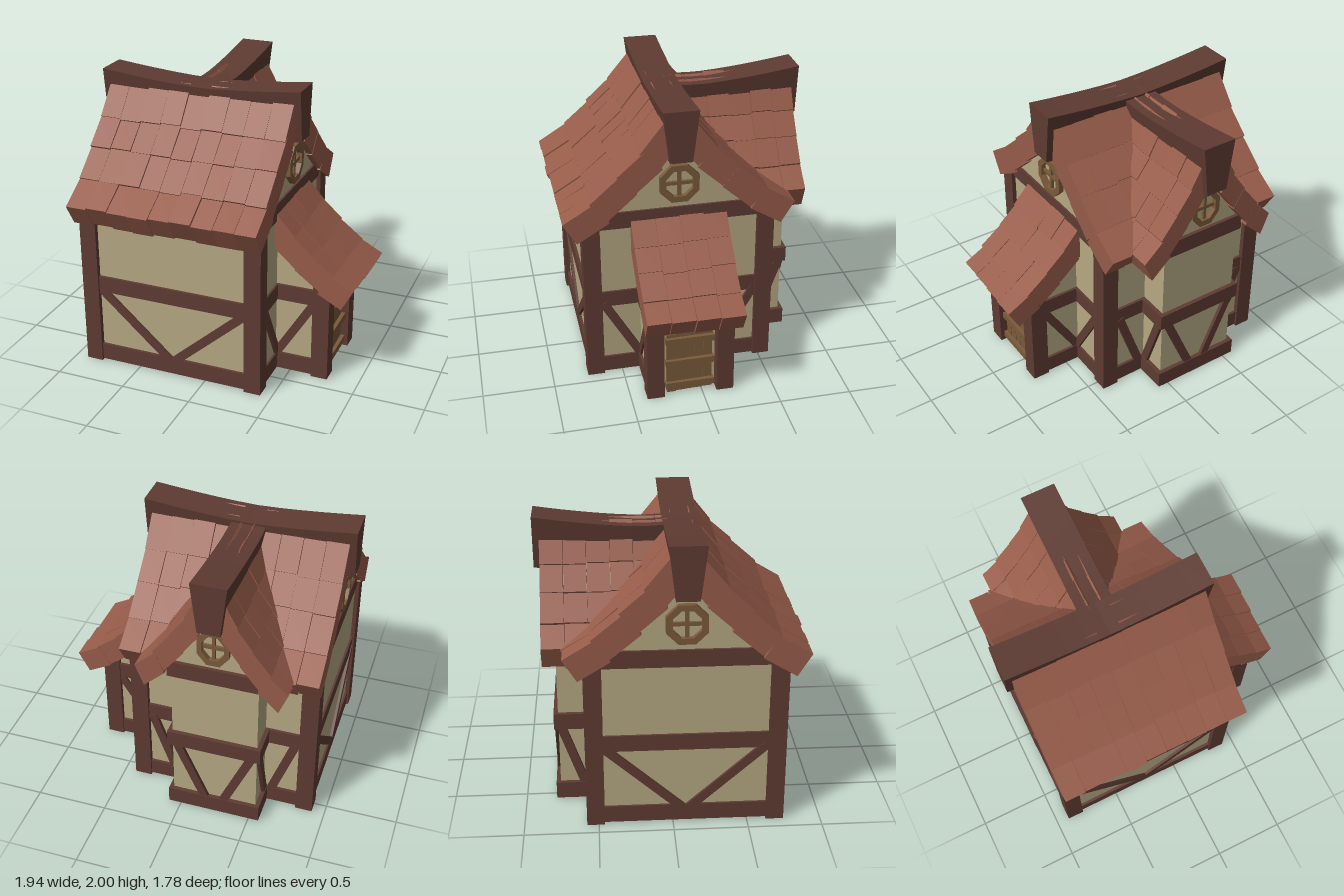
import * as THREE from 'three';

const mat = (color) => new THREE.MeshStandardMaterial({ color, flatShading: true });
const TIMBER = mat(0x5e3b32), WALL = mat(0xb5a883), TILE = mat(0x975c4a), WOOD = mat(0x7a5a3a);

let seed = 7;
const jitter = (amount) => {
  seed = (seed * 16807) % 2147483647;
  return (seed / 2147483647 - 0.5) * 2 * amount;
};

function add(parent, name, geometry, material) {
  const mesh = new THREE.Mesh(geometry, material);
  mesh.name = name;
  parent.add(mesh);
  return mesh;
}

// Box given by its limits on each axis
function block(parent, name, [x0, x1], [y0, y1], [z0, z1], material = TIMBER) {
  const mesh = add(parent, name, new THREE.BoxGeometry(x1 - x0, y1 - y0, z1 - z0), material);
  mesh.position.set((x0 + x1) / 2, (y0 + y1) / 2, (z0 + z1) / 2);
  return mesh;
}

// Slanted timber from a to b
function brace(parent, a, b, depth = 0.04) {
  const p = new THREE.Vector3(...a), q = new THREE.Vector3(...b);
  const mesh = add(parent, 'brace', new THREE.BoxGeometry(depth, 0.06, p.distanceTo(q)), TIMBER);
  mesh.position.copy(p).add(q).multiplyScalar(0.5);
  mesh.lookAt(q);
}

// Solid plaster body: outline in x/y, extruded along z
function body(parent, name, outline, length) {
  const shape = new THREE.Shape(outline.map(([x, y]) => new THREE.Vector2(x, y)));
  const geometry = new THREE.ExtrudeGeometry(shape, { depth: length, bevelEnabled: false });
  return add(parent, name, geometry.translate(0, 0, -length / 2), WALL);
}

const mirrored = (half) => [...half, ...half.map(([x, y]) => [-x, y]).reverse()];

// Rows of thick tiles that follow a profile, in columns along z
function tileSlope(parent, name, profile, columns, pitch, thickness) {
  const slope = new THREE.Group();
  slope.name = name;
  for (let c = 0; c < columns; c++) {
    for (let r = 0; r < profile.length - 1; r++) {
      const [x0, y0] = profile[r], [x1, y1] = profile[r + 1];
      const angle = Math.atan2(y1 - y0, x1 - x0);
      const length = Math.hypot(x1 - x0, y1 - y0) + 0.02 + jitter(0.008);
      const tile = add(slope, 'roofTile',
        new THREE.BoxGeometry(length, thickness, pitch - 0.003 + jitter(0.003)), TILE);
      const sink = thickness / 2 + jitter(0.006);
      const slide = jitter(0.01) - 0.006;
      tile.position.set(
        (x0 + x1) / 2 + Math.sin(angle) * sink + Math.cos(angle) * slide,
        (y0 + y1) / 2 - Math.cos(angle) * sink + Math.sin(angle) * slide,
        (c - (columns - 1) / 2) * pitch);
      tile.rotation.z = angle + 0.05 + jitter(0.02);
    }
  }
  parent.add(slope);
  return slope;
}

// Sagging ridge beam along z, narrower at the bottom
function ridge(parent, name, length, sag, lowest) {
  const geometry = new THREE.BoxGeometry(0.24, 0.36, length, 1, 1, 10);
  const pos = geometry.attributes.position;
  for (let i = 0; i < pos.count; i++) {
    const s = Math.min(1, Math.abs(pos.getZ(i) - lowest) / (length / 2 + Math.abs(lowest)));
    if (pos.getY(i) < 0) pos.setX(i, pos.getX(i) * 0.63);
    pos.setY(i, pos.getY(i) + 1.82 - sag * (1 - s ** 1.5));
  }
  geometry.computeVertexNormals();
  return add(parent, name, geometry, TIMBER);
}

// Octagonal window facing +z
function roundWindow(parent, x, z, turn, width = 1) {
  const group = new THREE.Group();
  group.name = 'roundWindow';
  const section = [[0.1, -0.03], [0.145, -0.03], [0.145, 0.03], [0.1, 0.03], [0.1, -0.03]];
  const ring = new THREE.LatheGeometry(section.map((p) => new THREE.Vector2(...p)), 8);
  add(group, 'windowFrame', ring.rotateY(Math.PI / 8).rotateX(Math.PI / 2), WOOD);
  add(group, 'windowBar', new THREE.BoxGeometry(0.025, 0.21, 0.03), WOOD);
  add(group, 'windowBar', new THREE.BoxGeometry(0.21, 0.025, 0.03), WOOD);
  group.position.set(x, 1.46, z);
  group.rotation.y = turn;
  group.scale.x = width;
  parent.add(group);
}

export function createModel() {
  const model = new THREE.Group();
  model.name = 'timberCottage';
  const BASE = [0.01, 0.13], BAND = [0.555, 0.67], TOP = [1.16, 1.28];
  const MX = -0.245, MZ = 0.085;

  // Plaster bodies: main house, rear wing, porch
  const main = body(model, 'mainWalls', mirrored(
    [[0.63, 0.02], [0.63, 1.16], [0.5, 1.28], [0.3, 1.46], [0.05, 1.76]]), 1.27);
  main.rotation.y = Math.PI / 2;
  main.position.set(MX, 0, MZ);
  const wing = body(model, 'wingWalls', mirrored(
    [[0.3, 0.02], [0.3, 1.27], [0.2, 1.45], [0.04, 1.76]]), 0.8);
  wing.position.set(MX, 0, -0.36);
  body(model, 'porchWalls', [[0.36, 0.02], [0.7, 0.02], [0.7, 0.72], [0.42, 1.0], [0.36, 1.0]], 0.55)
    .position.z = MZ;

  // Main corner posts
  for (const x of [[-0.91, -0.79], [0.3, 0.42]])
    for (const z of [[0.63, 0.75], [-0.58, -0.46]]) block(model, 'cornerPost', x, [0, 1.2], z);

  // Horizontal beams of the main house
  for (const y of [BASE, BAND]) {
    block(model, 'frontBeam', [-0.8, 0.31], y, [0.69, 0.735]);
    block(model, 'backBeam', [-0.8, 0.31], y, [-0.565, -0.52]);
  }
  for (const y of [BASE, BAND, TOP]) {
    block(model, 'leftBeam', [0.36, 0.405], y, [-0.47, 0.64]);
    block(model, 'rightBeam', [-0.895, -0.85], y, [-0.47, 0.64]);
  }

  // Braces of the main house
  brace(model, [-0.79, 0.58, 0.715], [-0.25, 0.1, 0.715]);
  brace(model, [0.3, 0.58, 0.715], [-0.24, 0.1, 0.715]);
  brace(model, [-0.88, 0.58, 0.63], [-0.88, 0.1, 0.1]);
  brace(model, [-0.88, 0.58, -0.46], [-0.88, 0.1, 0.07]);
  brace(model, [0.39, 0.58, 0.62], [0.39, 0.12, 0.36]);
  brace(model, [0.39, 0.58, -0.46], [0.39, 0.12, -0.19]);

  // Rear wing beams and braces
  for (const y of [BASE, BAND]) block(model, 'wingBeam', [-0.575, 0.085], y, [-0.79, -0.5]);
  block(model, 'wingGableBeam', [-0.565, 0.075], TOP, [-0.785, -0.73]);
  for (const s of [-1, 1]) {
    brace(model, [MX + s * 0.27, 0.58, -0.765], [MX + s * 0.06, 0.1, -0.765]);
    brace(model, [MX + s * 0.305, 0.58, -0.745], [MX + s * 0.305, 0.1, -0.58]);
    brace(model, [MX + s * 0.52, 0.58, -0.55], [MX + s * 0.35, 0.1, -0.55]);
  }

  // Porch frame
  for (const s of [-1, 1]) {
    const z = MZ + s * 0.245, side = MZ + s * 0.275;
    block(model, 'porchPost', [0.66, 0.78], [0, 0.7], [z - 0.06, z + 0.06]);
    for (const y of [BASE, BAND])
      block(model, 'porchSideBeam', [0.4, 0.67], y, [side - 0.02, side + 0.02]);
    brace(model, [0.67, 0.57, side], [0.4, 0.13, side], 0.03);
  }
  block(model, 'porchLintel', [0.66, 0.77], BAND, [-0.11, 0.28]);

  // Plank door
  const door = new THREE.Group();
  door.name = 'door';
  model.add(door);
  for (let i = 0; i < 5; i++) {
    const z = MZ + (i - 2) * 0.064;
    block(door, 'doorPlank', [0.7, 0.735 + jitter(0.004)], [0.008 + jitter(0.006), 0.485 + jitter(0.01)],
      [z - 0.031, z + 0.031], WOOD);
  }
  for (const y of [0.07, 0.255, 0.435])
    block(door, 'doorBatten', [0.72, 0.76], [y - 0.024, y + 0.024], [-0.085, 0.255], WOOD);

  // Main roof and the steeper wing roof share one profile
  const profile = [[0.09, 1.93], [0.26, 1.7], [0.42, 1.54], [0.6, 1.37], [0.795, 1.24]];
  for (const s of [-1, 1]) {
    const slope = tileSlope(model, s > 0 ? 'frontRoof' : 'backRoof', profile, 9, 0.151, 0.18);
    slope.rotation.y = -s * Math.PI / 2;
    slope.position.set(MX, 0, MZ);
    const wingSlope = tileSlope(model, 'wingRoof', profile, 6, 0.153, 0.18);
    wingSlope.rotation.y = s > 0 ? 0 : Math.PI;
    wingSlope.scale.x = 0.65;
    wingSlope.position.set(MX, 0, -0.385);
  }
  const porch = [[0.38, 1.24], [0.52, 1.07], [0.66, 0.935], [0.81, 0.81], [0.955, 0.72]];
  tileSlope(model, 'porchRoof', porch, 4, 0.166, 0.165).position.z = MZ;

  // Ridge beams
  const mainRidge = ridge(model, 'mainRidge', 1.45, 0.055, 0);
  mainRidge.rotation.y = Math.PI / 2;
  mainRidge.position.set(MX, 0, MZ);
  ridge(model, 'wingRidge', 0.93, 0.075, 0.25).position.set(MX, 0, -0.42);

  // Gable windows
  roundWindow(model, 0.395, MZ, Math.PI / 2);
  roundWindow(model, -0.885, MZ, -Math.PI / 2);
  roundWindow(model, MX, -0.765, Math.PI, 0.8);

  return model;
}
